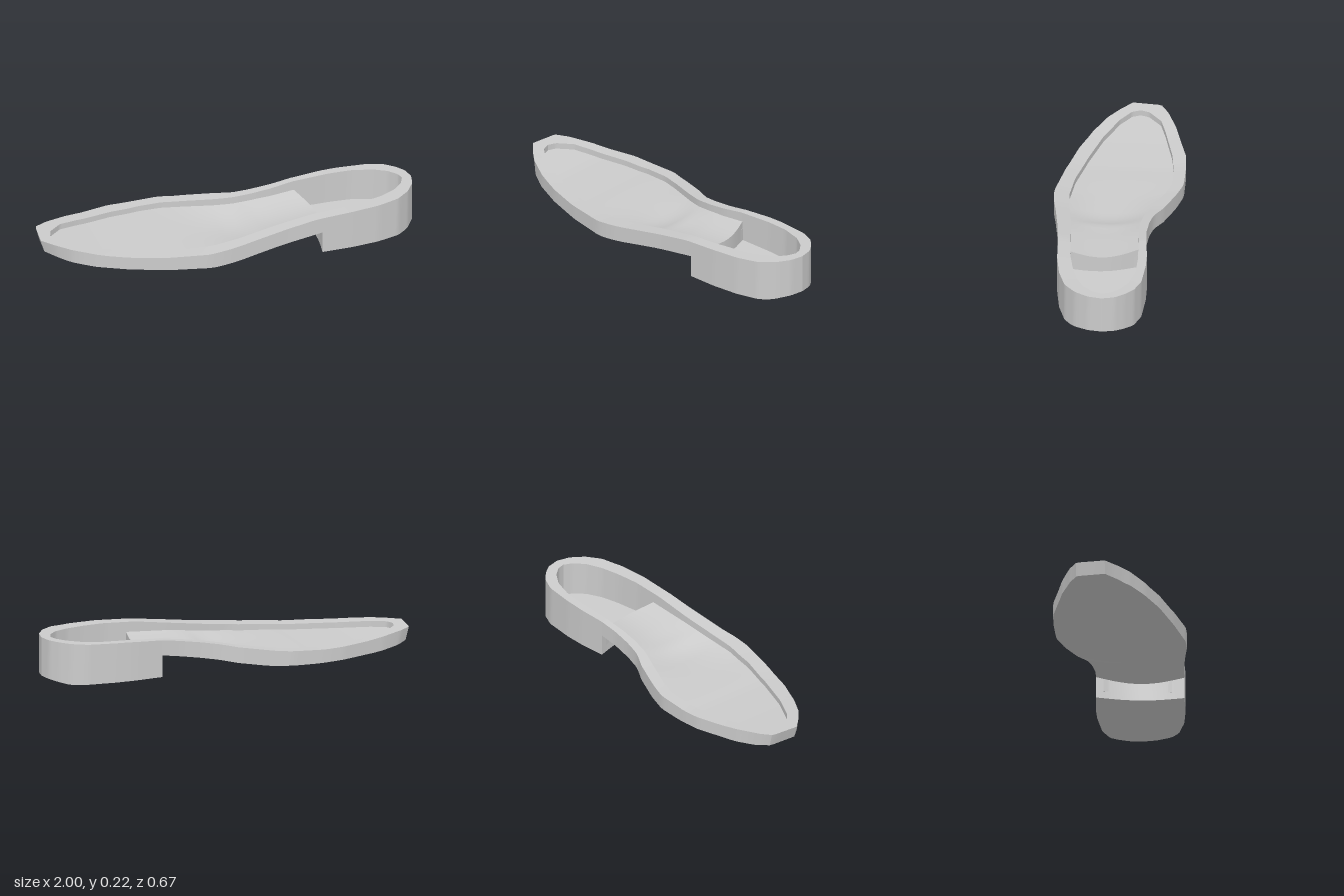
import * as THREE from 'three';
import { toCreasedNormals } from 'three/addons/utils/BufferGeometryUtils.js';

// Piecewise-linear curve through [x, value] points
const curve = (pts) => (x) => {
  if (x <= pts[0][0]) return pts[0][1];
  for (let i = 1; i < pts.length; i++) {
    const [x0, y0] = pts[i - 1], [x1, y1] = pts[i];
    if (x <= x1) return y0 + (y1 - y0) * (x - x0) / (x1 - x0);
  }
  return pts[pts.length - 1][1];
};

// Plan outlines: back (-z) and front (+z) edges, from toe (-x) to heel (+x)
const outer = [
  curve([[-1, -0.03], [-0.985, -0.18], [-0.92, -0.22], [-0.8, -0.266], [-0.55, -0.331], [-0.45, -0.337],
    [-0.27, -0.334], [-0.15, -0.297], [0, -0.242], [0.09, -0.196], [0.18, -0.178], [0.3, -0.169], [0.41, -0.174],
    [0.55, -0.185], [0.66, -0.185], [0.82, -0.17], [0.9, -0.136], [0.95, -0.088], [0.985, -0.038], [1, 0.03]]),
  curve([[-1, -0.03], [-0.94, 0.033], [-0.87, 0.094], [-0.75, 0.164], [-0.6, 0.229], [-0.4, 0.289], [-0.18, 0.337],
    [-0.08, 0.336], [0.05, 0.319], [0.25, 0.298], [0.435, 0.286], [0.6, 0.282], [0.75, 0.264], [0.87, 0.229],
    [0.94, 0.173], [0.985, 0.102], [1, 0.03]]),
];
const inner = [
  curve([[-0.935, -0.075], [-0.92, -0.12], [-0.85, -0.185], [-0.75, -0.215], [-0.55, -0.26], [-0.4, -0.275],
    [-0.27, -0.27], [-0.18, -0.245], [-0.05, -0.195], [0.08, -0.148], [0.18, -0.132], [0.28, -0.127],
    [0.41, -0.135], [0.6, -0.14], [0.72, -0.135], [0.83, -0.105], [0.9, -0.06], [0.94, -0.01], [0.95, 0.03]]),
  curve([[-0.935, -0.075], [-0.92, -0.03], [-0.85, 0.03], [-0.7, 0.11], [-0.5, 0.18], [-0.3, 0.235],
    [-0.13, 0.257], [0, 0.25], [0.2, 0.23], [0.445, 0.22], [0.57, 0.215], [0.7, 0.195], [0.8, 0.17],
    [0.88, 0.13], [0.93, 0.08], [0.95, 0.03]]),
];

// Side profiles; bulge is how far the middle of the shank sags below its edges
const rimY = curve([[-1, 0.133], [-0.9, 0.126], [-0.7, 0.109], [-0.45, 0.103], [-0.2, 0.114], [0, 0.137],
  [0.2, 0.169], [0.4, 0.199], [0.6, 0.211], [0.8, 0.216], [1, 0.225]]);
const shankY = curve([[-1, 0.065], [-0.9, 0.05], [-0.75, 0.04], [-0.4, 0.031], [-0.15, 0.035], [0, 0.052],
  [0.2, 0.085], [0.4, 0.117]]);
const insoleY = curve([[-0.95, 0.098], [-0.7, 0.078], [-0.45, 0.073], [-0.2, 0.081], [0, 0.1], [0.1, 0.115],
  [0.2, 0.13], [0.41, 0.148]]);
const bulge = curve([[-0.35, 0], [-0.2, 0.006], [0, 0.027], [0.06, 0.028], [0.11, 0.018], [0.2, 0.026],
  [0.25, 0.023], [0.4, 0.022]]);
const BREAST = 0.4, INNER_BREAST = 0.41;
const sag = (x, v) => bulge(x) * Math.sin(Math.PI * v);
const bottomY = (x, v) => (x < BREAST ? shankY(x) - sag(x, v) : Math.max(0, (x - 0.91) * 0.2));
const floorY = (x, v) => (x < INNER_BREAST ? insoleY(x) - sag(x, v) : 0.04);

// Bends the stations around the heel breast into a shallow concave arc
const warp = (x, v) =>
  x + Math.max(0, 1 - Math.abs(x - BREAST) / 0.2) * (0.04 * v + 0.035 * Math.sin(Math.PI * v));

// Draws the lower edge of the toe in under the rim
const tuckToe = ([x, y, z]) => [x + 0.02 * Math.max(0, 1 - (x + 1) / 0.2), y, z];

// Stations along the length, tight at both ends and doubled at the breast
const N = 96, COLUMNS = 14;
const stations = Array.from({ length: N + 1 }, (_, i) => -Math.cos(Math.PI * i / N));
stations.push(BREAST - 0.0002, BREAST + 0.0002);
stations.sort((a, b) => a - b);
const innerStations = stations.map((x) => (x < BREAST
  ? -0.935 + (x + 1) * (INNER_BREAST + 0.935) / (BREAST + 1)
  : INNER_BREAST + (x - BREAST) * (0.95 - INNER_BREAST) / (1 - BREAST)));

// Closed walk along one edge to the heel and back along the other
const walk = (xs, edges, height, useWarped) => {
  const side = (v) => xs.map((x) => {
    const wx = warp(x, v);
    return [wx, height(useWarped ? wx : x, v), edges[v](wx)];
  });
  return [...side(0), ...side(1).reverse().slice(1)];
};

// Surface spanning the two edges, one row of columns per station
const span = (xs, edges, height) => xs.map((x) => {
  const z0 = edges[0](warp(x, 0)), z1 = edges[1](warp(x, 1));
  return Array.from({ length: COLUMNS + 1 }, (_, j) => {
    const v = j / COLUMNS;
    return [warp(x, v), height(x, v), z0 + (z1 - z0) * v];
  });
});

function surface(name, rows, flip = false) {
  const w = rows[0].length, index = [];
  for (let i = 0; i < rows.length - 1; i++) {
    for (let j = 0; j < w - 1; j++) {
      const a = i * w + j, b = a + w, c = b + 1, d = a + 1;
      if (flip) index.push(a, c, b, a, d, c);
      else index.push(a, b, c, a, c, d);
    }
  }
  const geo = new THREE.BufferGeometry();
  geo.setAttribute('position', new THREE.Float32BufferAttribute(rows.flat(2), 3));
  geo.setIndex(index);
  const mesh = new THREE.Mesh(toCreasedNormals(geo, 0.6),
    new THREE.MeshStandardMaterial({ color: 0xcccccc, side: THREE.DoubleSide }));
  mesh.name = name;
  return mesh;
}

export function createModel() {
  const group = new THREE.Group();
  group.name = 'shoeSole';

  const outerTop = walk(stations, outer, rimY, true);
  const outerBottom = walk(stations, outer, bottomY, false).map(tuckToe);
  const innerTop = walk(innerStations, inner, rimY, true);
  const innerFloor = walk(innerStations, inner, floorY, false);
  const strip = (a, b) => a.map((p, i) => [p, b[i]]);

  // Walls and the flat rim between them
  group.add(surface('outerWall', strip(outerTop, outerBottom)));
  group.add(surface('rim', strip(innerTop, outerTop)));
  group.add(surface('innerWall', strip(innerFloor, innerTop)));

  // Recessed floor, dropping into the hollow heel
  group.add(surface('insoleFloor', span(innerStations, inner, floorY), true));

  // Underside with arched shank, heel breast and heel base
  group.add(surface('outsole', span(stations, outer, bottomY).map((row) => row.map(tuckToe))));

  return group;
}
